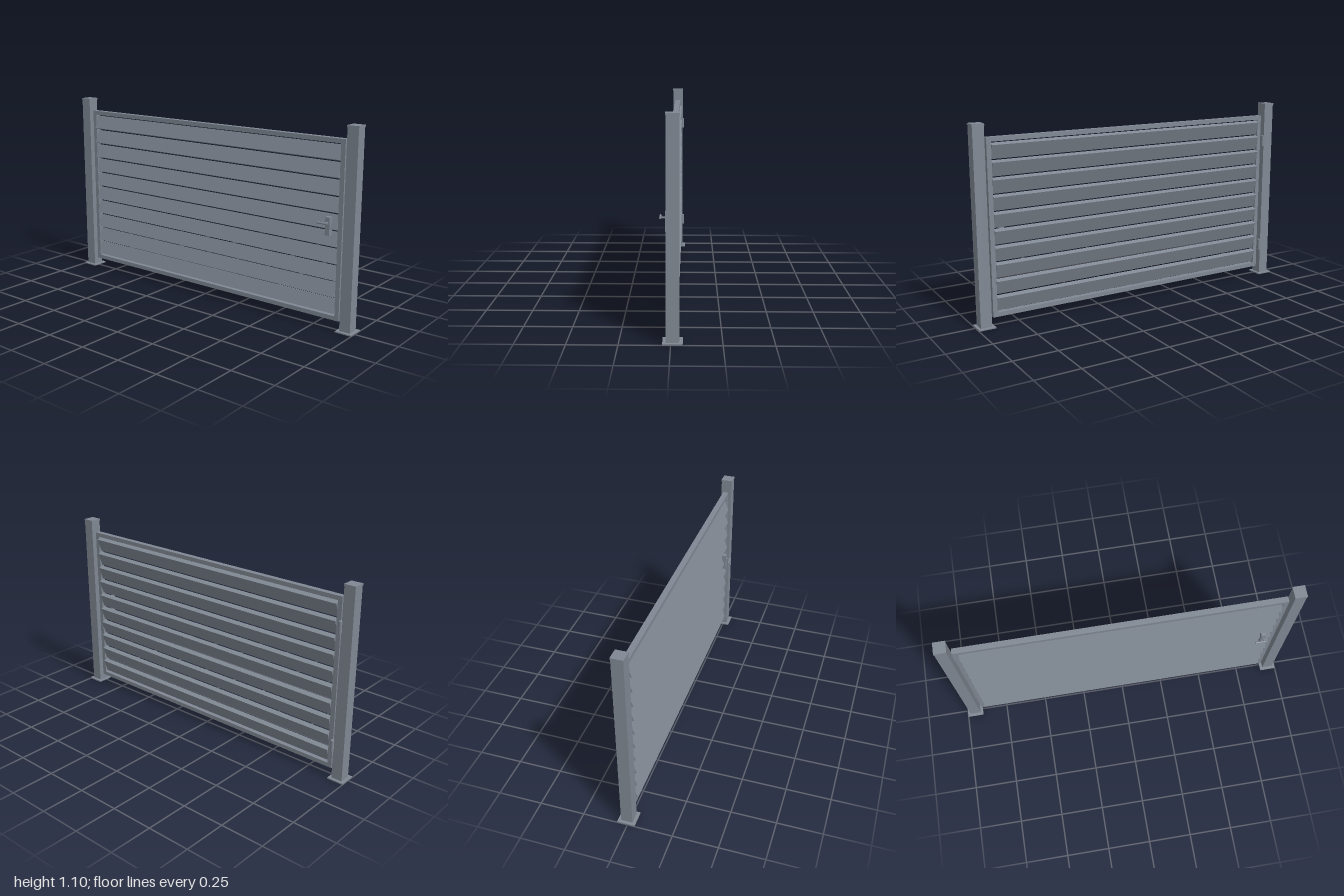
import * as THREE from 'three';

export function createModel() {
  const gate = new THREE.Group();
  gate.name = 'slattedGate';
  const steel = new THREE.MeshStandardMaterial({ color: 0x808893 });
  steel.name = 'grey painted metal';
  const zc = -0.009; // depth centre of posts and leaf

  function add(name, geometry, x, y, z) {
    const mesh = new THREE.Mesh(geometry, steel);
    mesh.name = name;
    mesh.position.set(x, y, z);
    gate.add(mesh);
    return mesh;
  }
  const box = (name, w, h, d, x, y, z) => add(name, new THREE.BoxGeometry(w, h, d), x, y, z);

  // Posts with foot plates and caps, and the upright frame bars
  for (const side of [-1, 1]) {
    const x = side * 0.952;
    box('footPlate', 0.096, 0.007, 0.098, x, 0.0035, zc);
    box('post', 0.064, 1.085, 0.064, x, 0.5495, zc);
    box('postCap', 0.068, 0.01, 0.068, x, 1.097, zc);
    box('frameUpright', 0.026, 0.977, 0.032, side * 0.892, 0.5385, zc);
  }

  // Top and bottom rails between the uprights
  for (const y of [0.062, 1.015]) box('frameRail', 1.758, 0.024, 0.032, 0, y, zc);

  // Louvre slats, lower edge leaning forward
  const tilt = THREE.MathUtils.degToRad(20);
  for (let i = 0; i < 10; i++) {
    const slat = box('slat', 1.758, 0.082, 0.029, 0, 0.124 + i * 0.0921, zc);
    slat.rotation.x = -tilt;
  }

  // Hinges behind the gap at the right-hand post
  for (const y of [0.198, 0.872]) {
    box('hingeLeaf', 0.02, 0.065, 0.016, -0.914, y, -0.032);
    add('hingeKnuckle', new THREE.CylinderGeometry(0.01, 0.01, 0.065, 16), -0.913, y, -0.041);
  }

  // Latch plate, spindle and lever handle
  box('latchPlate', 0.026, 0.098, 0.028, 0.829, 0.565, 0.015);
  const spindle = add('handleSpindle', new THREE.CylinderGeometry(0.005, 0.005, 0.026, 16), 0.83, 0.585, 0.04);
  spindle.rotation.x = Math.PI / 2;
  const lever = add('handleLever', new THREE.CylinderGeometry(0.0055, 0.0055, 0.06, 16), 0.81, 0.585, 0.0525);
  lever.rotation.z = Math.PI / 2;

  return gate;
}
